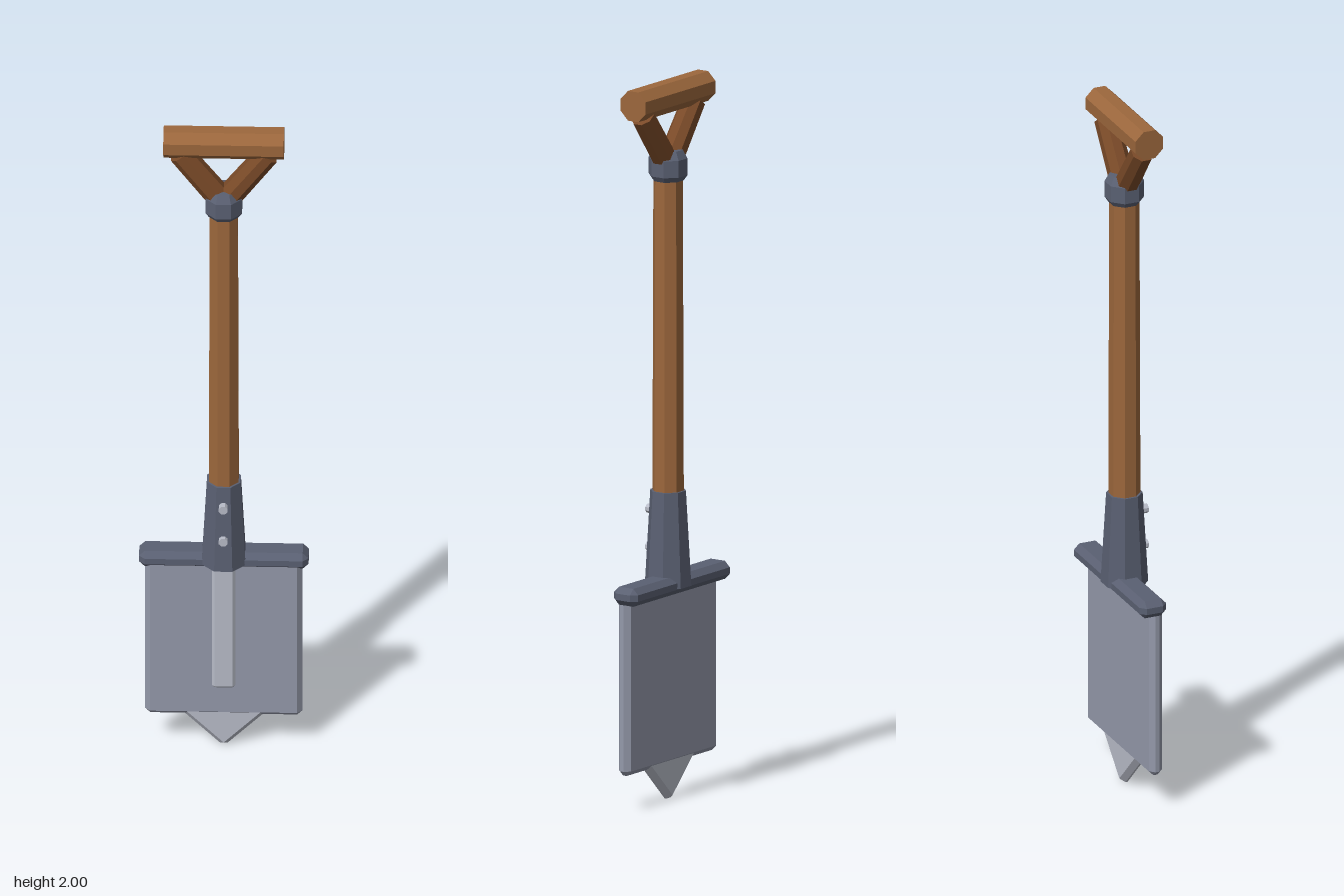
import * as THREE from 'three';
import { ConvexGeometry } from 'three/addons/geometries/ConvexGeometry.js';

const Z = -0.005; // common centre plane of shaft and blade
const OCT = Math.cos(Math.PI / 8);

function material(name, color) {
  const m = new THREE.MeshStandardMaterial({ color });
  m.name = name;
  return m;
}

// Faceted copy of a geometry
function faceted(geometry) {
  const g = geometry.index ? geometry.toNonIndexed() : geometry;
  g.computeVertexNormals();
  return g;
}

// Box with every edge cut by a chamfer
function chamferBox(w, h, d, c) {
  const points = [];
  for (const sx of [-1, 1]) for (const sy of [-1, 1]) for (const sz of [-1, 1]) {
    const x = w / 2, y = h / 2, z = d / 2;
    points.push(
      new THREE.Vector3(sx * x, sy * (y - c), sz * (z - c)),
      new THREE.Vector3(sx * (x - c), sy * y, sz * (z - c)),
      new THREE.Vector3(sx * (x - c), sy * (y - c), sz * z));
  }
  return faceted(new ConvexGeometry(points));
}

// Eight-sided rod with flats facing the axes; radii measured to the flats
function octRod(top, bottom, length) {
  return faceted(new THREE.CylinderGeometry(top / OCT, bottom / OCT, length, 8, 1, false, Math.PI / 8));
}

export function createModel() {
  const group = new THREE.Group();
  group.name = 'shovel';

  const wood = material('wood', 0x9c673c);
  const darkWood = material('dark wood', 0x7a4a28);
  const darkMetal = material('dark metal', 0x5a6072);
  const steel = material('blade steel', 0x9499aa);
  const brightSteel = material('bright steel', 0xb8bcc8);

  function add(name, geometry, mat, x, y, z) {
    const mesh = new THREE.Mesh(geometry, mat);
    mesh.name = name;
    mesh.position.set(x, y, z);
    group.add(mesh);
    return mesh;
  }

  // Grip and shaft
  add('grip', octRod(0.0415, 0.0415, 0.328), wood, 0, 1.9585, Z).rotation.z = Math.PI / 2;
  add('shaft', octRod(0.038, 0.041, 1.1), wood, 0, 1.22, Z);

  // Splayed arms joining shaft and grip
  for (const side of [-1, 1]) {
    const from = new THREE.Vector2(0, 1.765), to = new THREE.Vector2(side * 0.119, 1.923);
    const arm = add(side > 0 ? 'leftArm' : 'rightArm', octRod(0.031, 0.033, from.distanceTo(to)),
      darkWood, (from.x + to.x) / 2, (from.y + to.y) / 2, Z);
    arm.rotation.z = -Math.atan2(to.x - from.x, to.y - from.y);
  }

  // Collar under the arms
  const profile = [[0, 1.725], [0.04, 1.725], [0.05, 1.74], [0.05, 1.787], [0.038, 1.81], [0, 1.81]]
    .map(([r, y]) => new THREE.Vector2(r / OCT, y));
  add('collar', faceted(new THREE.LatheGeometry(profile, 8, Math.PI / 8)), darkMetal, 0, 0, Z);

  // Tapered socket with two rivets
  add('socket', octRod(0.046, 0.06, 0.265), darkMetal, 0, 0.7275, Z);
  for (const y of [0.695, 0.8]) {
    add('rivet', octRod(0.012, 0.012, 0.035), brightSteel, 0, y, 0.0455).rotation.x = Math.PI / 2;
  }

  // Blade with foot bar, rib and pointed tip
  add('footBar', chamferBox(0.462, 0.05, 0.08, 0.016), darkMetal, 0, 0.602, -0.018);
  add('blade', chamferBox(0.428, 0.51, 0.04, 0.014), steel, 0, 0.353, -0.003);
  add('rib', chamferBox(0.064, 0.41, 0.044, 0.008), brightSteel, 0, 0.403, 0.012);
  add('tip', chamferBox(0.2, 0.2, 0.034, 0.014), brightSteel, 0, 0.1315, -0.003).rotation.z = Math.PI / 4;

  return group;
}
